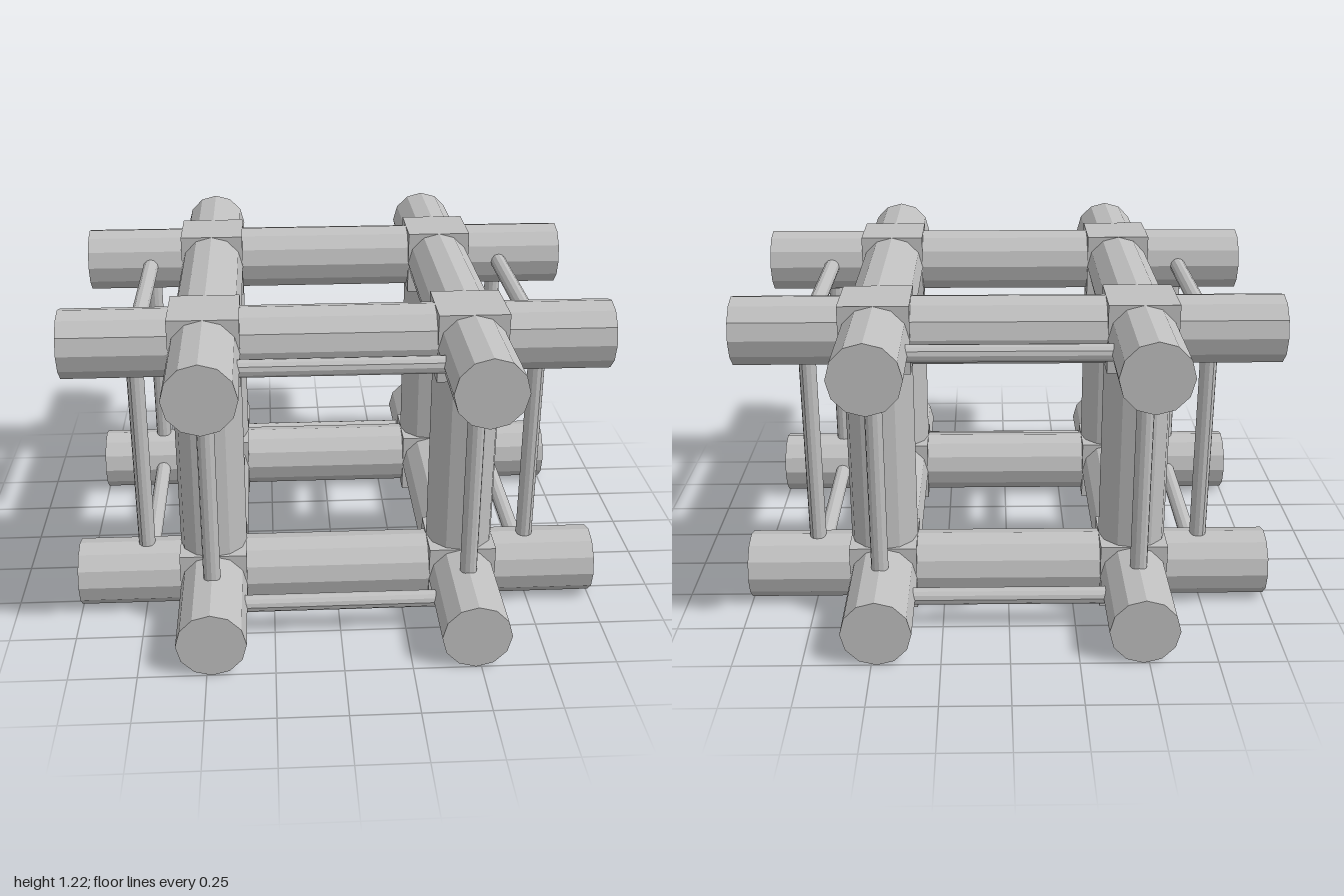
import * as THREE from 'three';

export function createModel() {
  const model = new THREE.Group();
  const grey = new THREE.MeshStandardMaterial({ color: 0xc0c0c0, flatShading: true });
  grey.name = 'plain grey';

  const R = 0.128;             // beam radius
  const ROD = 0.032;           // thin rod radius
  const AXIS = 0.48;           // beam centre line
  const OUT = 0.74;            // rod centre line, outside the frame
  const LOW = R, HIGH = 1.092; // beam heights
  const MID = (LOW + HIGH) / 2;
  const SIDES = 12;

  // a bar centred on (x, y, z), running along the given axis
  function bar(name, axis, radius, length, x, y, z) {
    const geometry = new THREE.CylinderGeometry(radius, radius, length, SIDES);
    if (axis === 'x') geometry.rotateZ(-Math.PI / 2);
    if (axis === 'z') geometry.rotateX(Math.PI / 2);
    const mesh = new THREE.Mesh(geometry, grey);
    mesh.name = name;
    mesh.position.set(x, y, z);
    model.add(mesh);
  }

  for (const s of [-1, 1]) {
    for (const y of [LOW, HIGH]) {
      // long crossing beams
      bar('crossBeam', 'x', R, 2, 0, y, s * AXIS);
      bar('sideBeam', 'z', R, 2, s * AXIS, y, 0);
      // thin horizontal rods tying the beam ends together
      bar('crossRod', 'x', ROD, 0.72, 0, y, s * OUT);
      bar('sideRod', 'z', ROD, 0.72, s * OUT, y, 0);

      // cubic joints at the corners
      for (const t of [-1, 1]) {
        const joint = new THREE.Mesh(new THREE.BoxGeometry(2 * R, 2 * R, 2 * R), grey);
        joint.name = 'cornerJoint';
        joint.position.set(s * AXIS, y, t * AXIS);
        model.add(joint);
      }
    }

    // corner posts and the thin upright rods beside them
    for (const t of [-1, 1]) {
      bar('cornerPost', 'y', R, HIGH - LOW, s * AXIS, MID, t * AXIS);
      bar('uprightRod', 'y', ROD, 0.72, s * OUT, MID, t * AXIS);
      bar('uprightRod', 'y', ROD, 0.72, s * AXIS, MID, t * OUT);
    }
  }
  return model;
}
